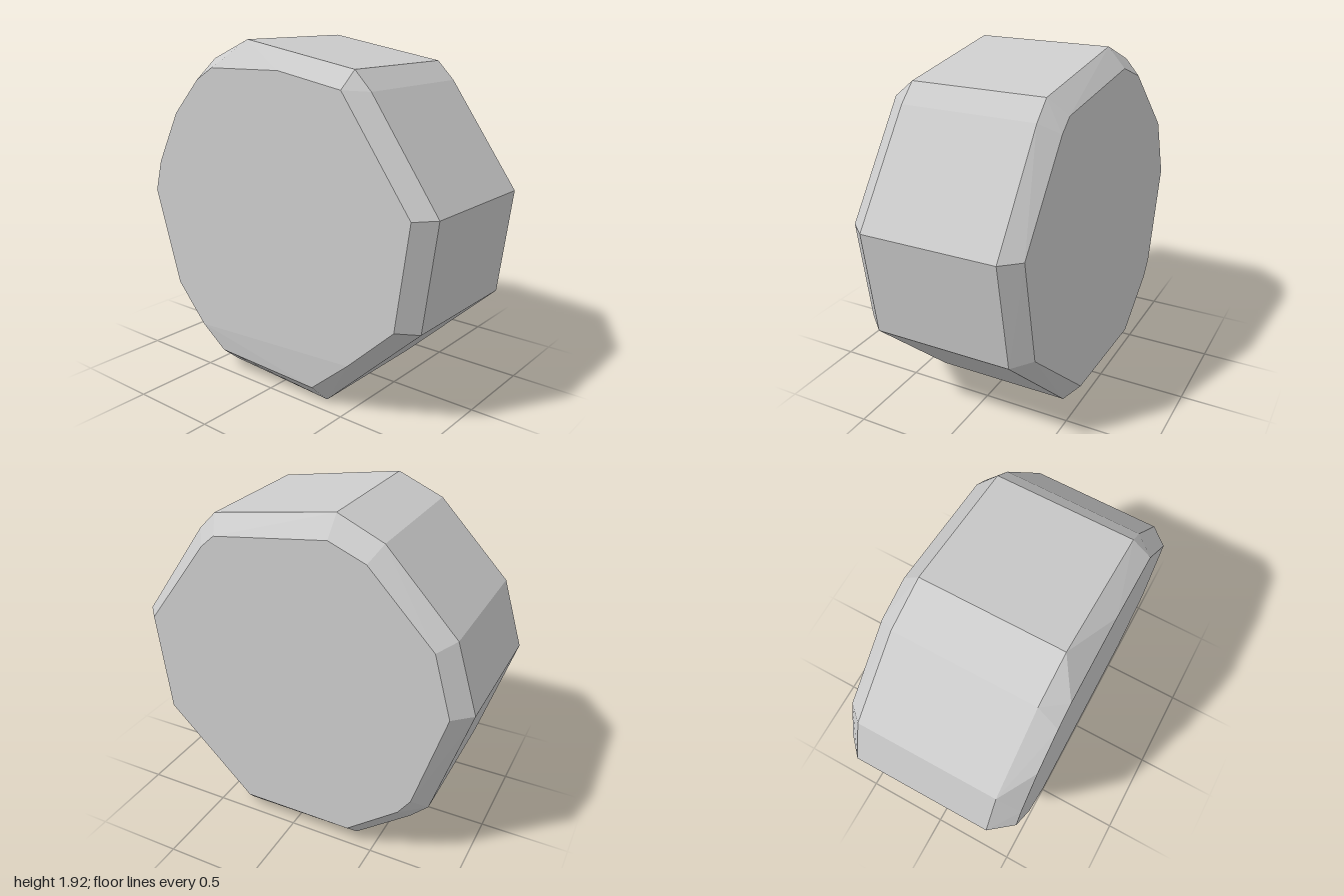
import * as THREE from 'three';
import { ConvexGeometry } from 'three/addons/geometries/ConvexGeometry.js';

// Irregular rim outline, shared by the front and back edges of the side wall
const rim = [
  [1, 1.14], [0.92, 0.55], [0.33, 0], [-0.38, 0.03], [-0.7, 0.28], [-0.8, 0.38],
  [-1, 1.02], [-0.88, 1.4], [-0.48, 1.81], [-0.22, 1.92], [0.5, 1.8], [0.6, 1.7],
];
// Smaller outlines of the two flat faces, inside the chamfers
const frontFace = [
  [0.91, 1.14], [0.83, 0.57], [0.55, 0.31], [0.3, 0.1], [-0.38, 0.12], [-0.53, 0.25],
  [-0.73, 0.47], [-0.9, 1.02], [-0.85, 1.2], [-0.69, 1.5], [-0.5, 1.7], [-0.38, 1.77],
  [0.1, 1.78], [0.5, 1.71],
];
const backFace = [
  [0.91, 1.14], [0.83, 0.57], [0.3, 0.1], [-0.36, 0.12], [-0.66, 0.36], [-0.73, 0.46],
  [-0.9, 1.02], [-0.8, 1.36], [-0.43, 1.73], [-0.22, 1.81], [0.45, 1.71], [0.53, 1.64],
];

// The back plane leans slightly; the front is nearly square
const backZ = (x, y) => -0.487 + 0.03 * x + 0.02 * (y - 1);
const frontZ = (x, y) => (y < 0.2 ? 0.495 : 0.51);

const ring = (outline, zAt) => outline.map(([x, y]) => new THREE.Vector3(x, y, zAt(x, y)));

export function createModel() {
  const group = new THREE.Group();
  group.name = 'chamferedStone';

  // Solid slab skinned over four rings: two faces and two rim edges
  const geometry = new ConvexGeometry([
    ...ring(frontFace, frontZ),
    ...ring(rim, (x) => 0.395 + 0.012 * x),
    ...ring(rim, (x, y) => backZ(x, y) + 0.095),
    ...ring(backFace, backZ),
  ]);
  const slab = new THREE.Mesh(
    geometry,
    new THREE.MeshStandardMaterial({ color: 0xcccccc, flatShading: true }),
  );
  slab.name = 'slab';
  group.add(slab);
  return group;
}
